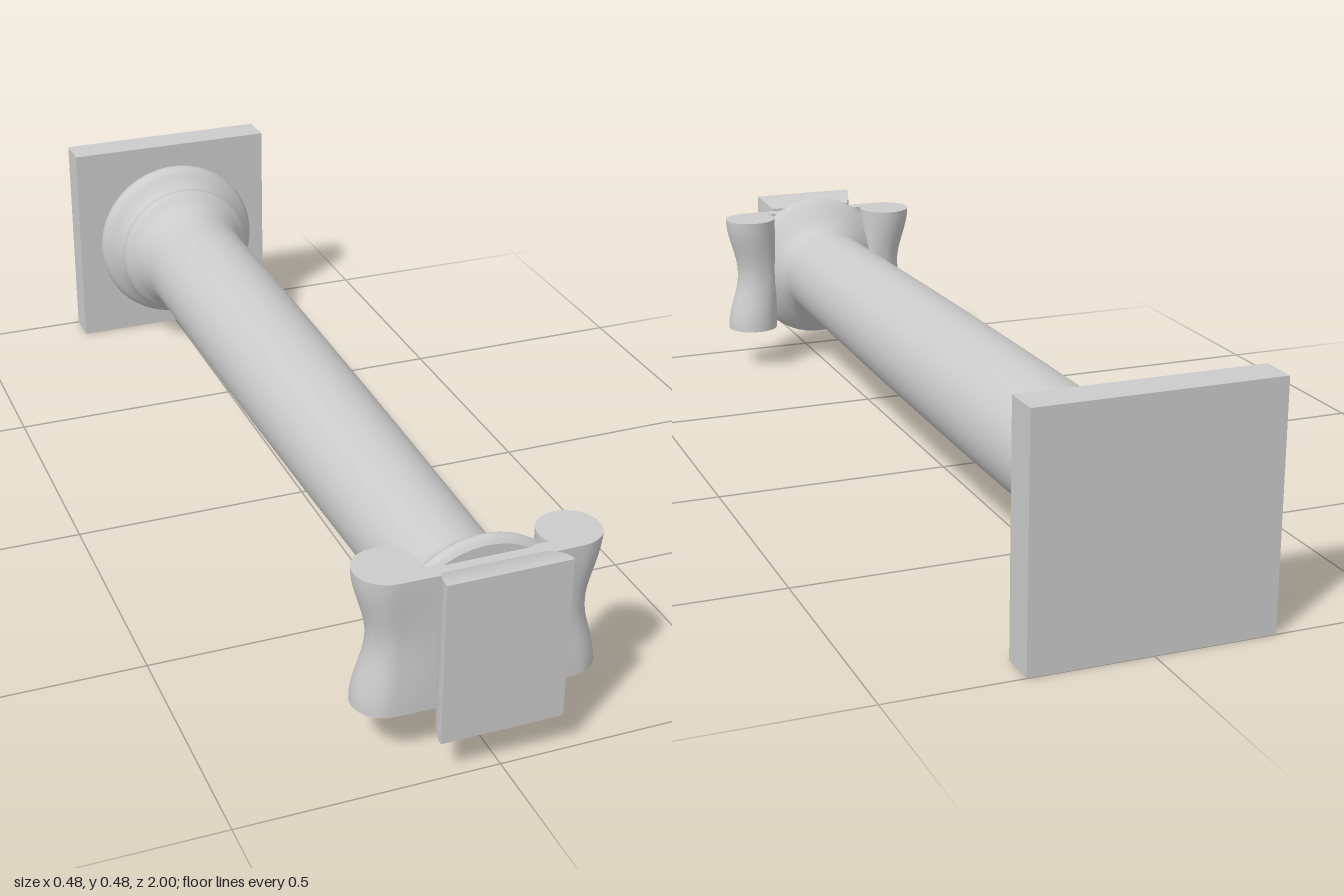
import * as THREE from 'three';
import { toCreasedNormals } from 'three/addons/utils/BufferGeometryUtils.js';

const AXIS = 0.238; // height of the column's axis
const material = new THREE.MeshStandardMaterial({ color: 0xcccccc, side: THREE.DoubleSide });

function add(group, name, geometry) {
  const mesh = new THREE.Mesh(geometry, material);
  mesh.name = name;
  mesh.position.y = AXIS;
  group.add(mesh);
}

// Moves every vertex by a rule, then rebuilds normals with crisp edges
function reshape(geometry, rule) {
  const p = geometry.attributes.position;
  const v = new THREE.Vector3();
  for (let i = 0; i < p.count; i++) {
    rule(v.fromBufferAttribute(p, i));
    p.setXYZ(i, v.x, v.y, v.z);
  }
  return toCreasedNormals(geometry, 0.6);
}

// Turned part along z from smooth [radius, z] points
function turned(points, divisions) {
  const curve = new THREE.SplineCurve(points.map(([r, z]) => new THREE.Vector2(r, z)));
  return new THREE.LatheGeometry(curve.getPoints(divisions), 64).rotateX(Math.PI / 2);
}

// Scroll pair joined by a band, pinched at mid height
function scrollGeometry() {
  const cx = 0.175, cz = 0.872, r = 0.06, half = 0.138;
  const side = [[0.06, 0.934], [0.12, 0.933]];
  for (let i = 0; i <= 28; i++) {
    const a = Math.PI / 2 - (i / 28) * Math.PI * 1.86;
    side.push([cx + r * Math.cos(a), cz + r * Math.sin(a)]);
  }
  side.push([0.122, 0.9], [0.112, 0.899], [0.06, 0.899]);
  const outline = [...side, ...side.map(([x, z]) => [-x, z]).reverse()];
  const shape = new THREE.Shape(outline.map(([x, z]) => new THREE.Vector2(x, z)));
  const geometry = new THREE.ExtrudeGeometry(shape, { depth: half * 2, steps: 20, bevelEnabled: false });
  geometry.rotateX(Math.PI / 2).translate(0, half, 0);
  return reshape(geometry, (v) => {
    const pinch = 0.5 + 0.5 * Math.cos((Math.PI * v.y) / half);
    const w = THREE.MathUtils.smoothstep(Math.abs(v.x), 0.1, 0.17) * pinch;
    v.x -= Math.sign(v.x) * Math.max(0, Math.abs(v.x) - 0.11) * 0.216 * pinch;
    v.z += (0.888 - v.z) * 0.18 * w;
  });
}

// Slab whose edges flare out towards its front face
function abacusGeometry() {
  return reshape(new THREE.BoxGeometry(2, 2, 1, 1, 1, 10), (v) => {
    const t = v.z + 0.5;
    const inset = 0.02 * (1 - Math.sin((t * Math.PI) / 2));
    v.set(v.x * (0.118 - inset), v.y * (0.163 - inset), 0.932 + 0.068 * t);
  });
}

export function createModel() {
  const group = new THREE.Group();
  group.name = 'column';

  add(group, 'plinth', new THREE.BoxGeometry(0.476, 0.476, 0.075).translate(0, 0, -0.9625));

  // Two rounded rings with a hollow between, easing into the shaft
  add(group, 'baseMoulding', turned([
    [0.172, -0.927], [0.187, -0.913], [0.192, -0.895], [0.186, -0.877], [0.168, -0.86],
    [0.157, -0.846], [0.154, -0.836], [0.157, -0.822], [0.156, -0.808], [0.147, -0.796],
    [0.139, -0.786], [0.13, -0.766], [0.123, -0.74], [0.12, -0.7],
  ], 70));

  add(group, 'shaft', turned([
    [0.12, -0.7], [0.12, -0.4], [0.118, -0.1], [0.114, 0.25], [0.109, 0.55], [0.105, 0.79],
  ], 30));

  // Flared neck and rounded cushion under the scrolls
  add(group, 'echinus', turned([
    [0.105, 0.79], [0.109, 0.812], [0.122, 0.832], [0.141, 0.85],
    [0.16, 0.868], [0.171, 0.884], [0.17, 0.896], [0.16, 0.905],
  ], 40));
  add(group, 'echinusTop', new THREE.CircleGeometry(0.16, 64).translate(0, 0, 0.905));

  add(group, 'scrolls', scrollGeometry());
  add(group, 'abacus', abacusGeometry());
  return group;
}
